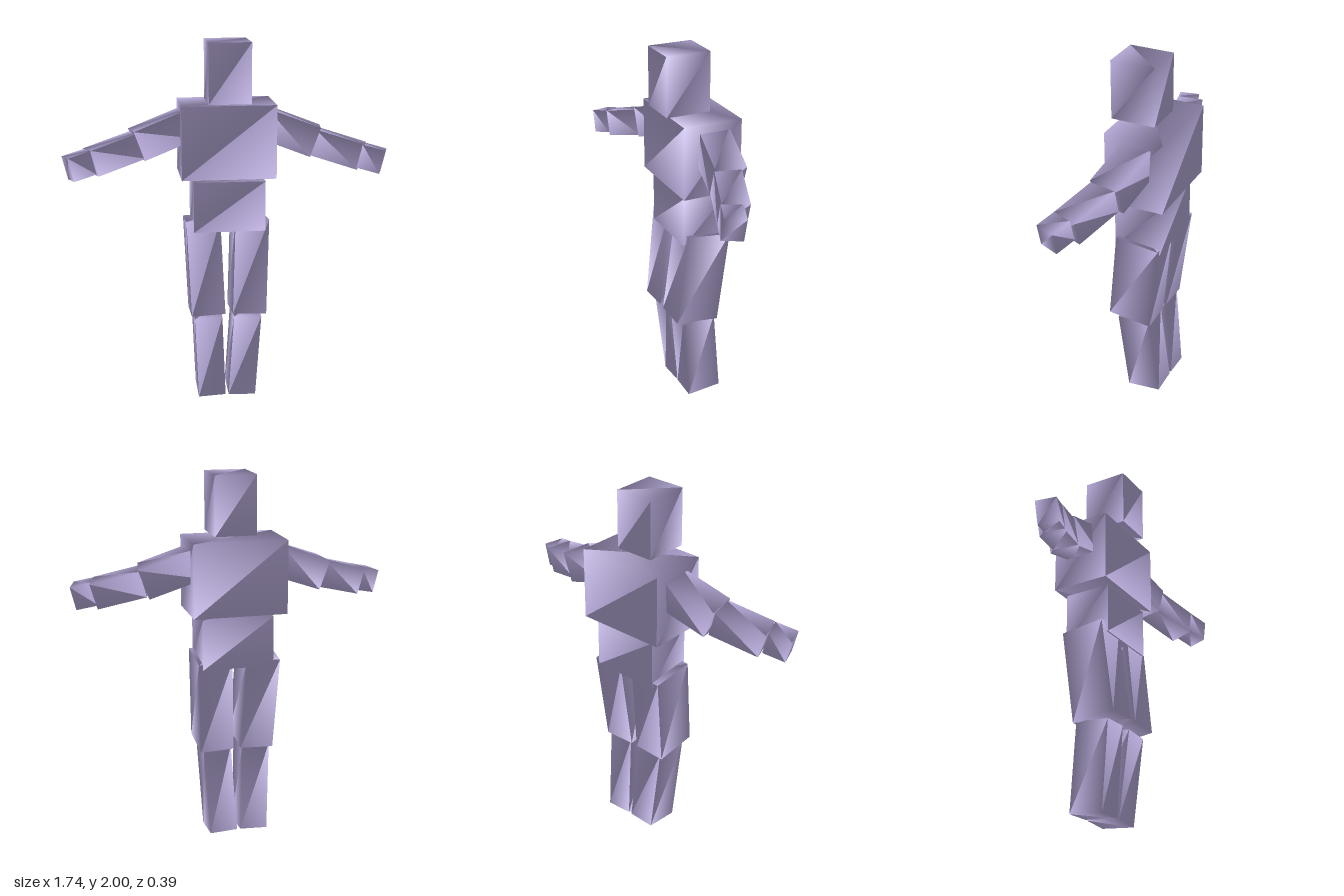
import * as THREE from 'three';

// Block with soft shading: each corner has one normal, its axes cycled (y, z, x)
function softBlock(w, h, d) {
  const geometry = new THREE.BoxGeometry(w, h, d);
  const { position, normal } = geometry.attributes;
  const corner = new THREE.Vector3();
  for (let i = 0; i < position.count; i++) {
    corner.set(
      Math.sign(position.getY(i)),
      Math.sign(position.getZ(i)),
      Math.sign(position.getX(i)),
    ).normalize();
    normal.setXYZ(i, corner.x, corner.y, corner.z);
  }
  return geometry;
}

export function createModel() {
  const model = new THREE.Group();
  model.name = 'blockFigure';
  const lavender = new THREE.MeshStandardMaterial({ color: 0xb4a7d6 });
  lavender.name = 'lavender';

  function block(name, size, position) {
    const mesh = new THREE.Mesh(softBlock(...size), lavender);
    mesh.name = name;
    mesh.position.set(...position);
    model.add(mesh);
    return mesh;
  }

  // Block whose y axis runs along the bone from a to b; arms are rolled a quarter turn
  function limb(name, a, b, width, depth, isArm) {
    const start = new THREE.Vector3(...a);
    const end = new THREE.Vector3(...b);
    const along = end.clone().sub(start);
    const length = along.length();
    along.normalize();
    const flat = along.clone().cross(new THREE.Vector3(0, 0, -1)).normalize();
    const xAxis = isArm ? flat.clone().cross(along) : flat;
    const zAxis = xAxis.clone().cross(along);
    const size = isArm ? [depth, length, width] : [width, length, depth];
    const mesh = block(name, size, start.add(end).multiplyScalar(0.5).toArray());
    mesh.quaternion.setFromRotationMatrix(new THREE.Matrix4().makeBasis(xAxis, along, zAxis));
  }

  // Head and trunk
  block('head', [0.225, 0.32, 0.245], [0.008, 1.84, 0.034]);
  block('chest', [0.507, 0.395, 0.325], [0.008, 1.4705, -0.037]);
  block('pelvis', [0.387, 0.275, 0.262], [0.013, 1.1175, -0.03]);

  // Arms and legs: name, upper end, lower end, width, depth, sideways offset, is an arm
  const limbs = [
    ['UpperArm', [0.198, 1.554, -0.053], [0.483, 1.45, -0.005], 0.166, 0.168, 0.007, true],
    ['Forearm', [0.475, 1.45, 0.003], [0.725, 1.379, 0.088], 0.142, 0.142, 0.005, true],
    ['Hand', [0.722, 1.386, 0.102], [0.836, 1.358, 0.142], 0.128, 0.112, -0.002, true],
    ['Thigh', [0.133, 1.028, -0.037], [0.112, 0.508, 0.022], 0.184, 0.246, 0.005, false],
    ['Shin', [0.109, 0.498, 0.005], [0.085, 0.014, -0.045], 0.152, 0.192, 0.005, false],
  ];
  for (const [side, sign] of [['left', 1], ['right', -1]]) {
    for (const [name, a, b, width, depth, offset, isArm] of limbs) {
      const place = ([x, y, z]) => [sign * x + offset, y, z];
      limb(side + name, place(a), place(b), width, depth, isArm);
    }
  }
  return model;
}
